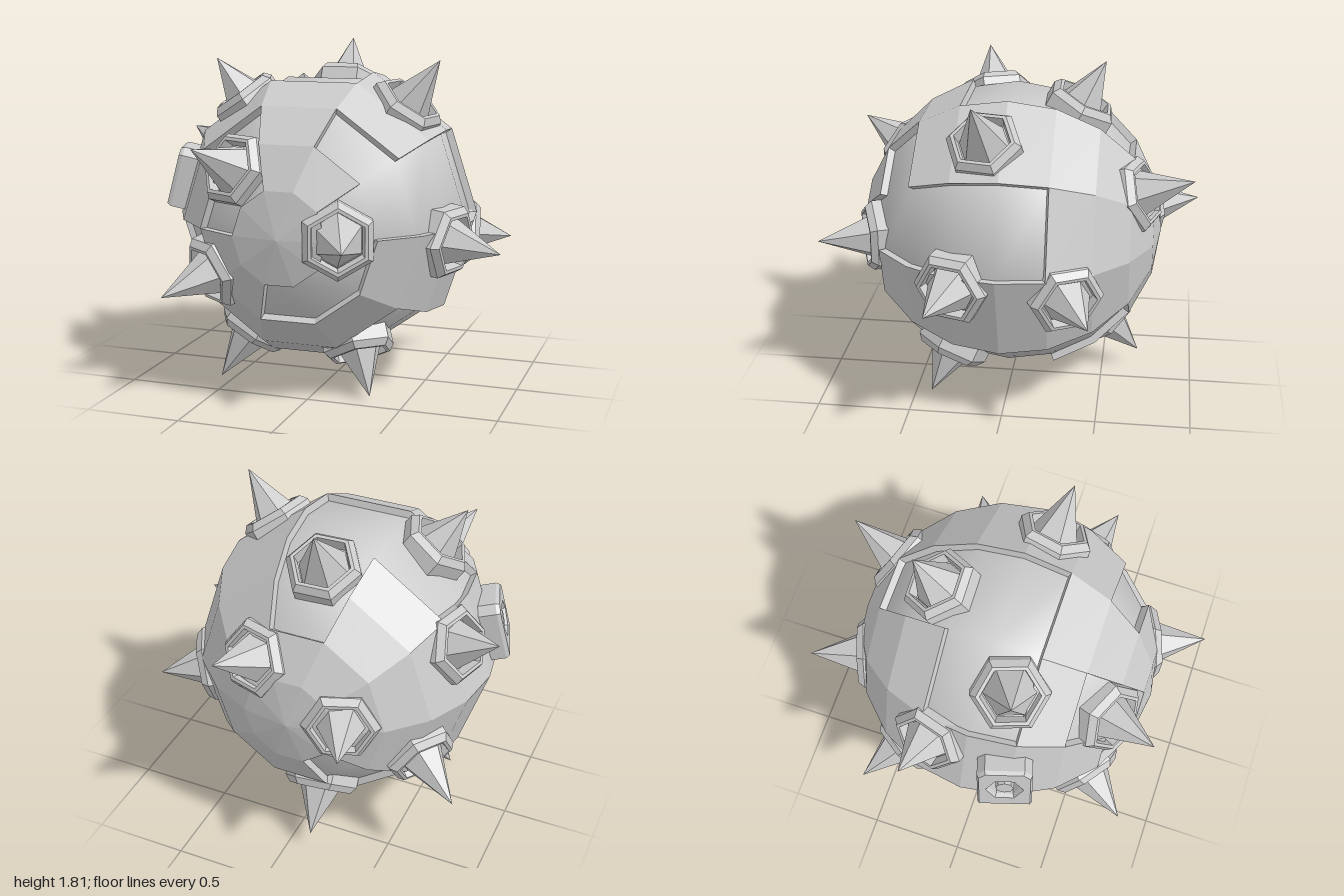
import * as THREE from 'three';

const CENTER = new THREE.Vector3(-0.05, 0.9, 0);
const SHELL = 0.8, CORE = 0.76, N = 10;

// Recessed panels of the shell: [sector, first ring, last ring]; rings run front to back
const RECESSES = [
  [0, 1, 5], [1, 2, 2], [2, 4, 7], [3, 4, 5], [3, 1, 2], [4, 1, 1],
  [5, 2, 3], [7, 1, 1], [8, 1, 1], [9, 1, 1], [7, 4, 5], [8, 3, 7], [6, 7, 8],
];

// Spike tips
const TIPS = [
  [-0.07, 1.81, -0.48], [-0.61, 1.73, 0.2], [0.59, 1.74, 0.13],
  [-0.45, 1.34, 0.89], [0.35, 0.9, 0.99], [-0.66, 0.57, 0.83],
  [0.96, 0.8, 0.32], [0.86, 0.73, -0.47], [-0.96, 1.3, -0.27],
  [-0.87, 0.495, -0.58], [-0.42, 0.94, -1.0], [0.25, 1.29, -0.96],
  [-0.58, 0, 0.28], [0.31, 0.02, 0.41], [-0.13, 0.11, -0.7],
];

const smooth = new THREE.MeshStandardMaterial({ color: 0xcccccc });
const flat = new THREE.MeshStandardMaterial({ color: 0xcccccc, flatShading: true, side: THREE.DoubleSide });

function part(name, geometry, material = flat) {
  const mesh = new THREE.Mesh(geometry, material);
  mesh.name = name;
  return mesh;
}

// Point on the ball at ring j and sector edge k, with the poles on z
function ballPoint(j, k, r) {
  const polar = (j * Math.PI) / N, turn = (k * 2 * Math.PI) / N;
  return [r * Math.sin(polar) * Math.cos(turn), r * Math.sin(polar) * Math.sin(turn), r * Math.cos(polar)];
}

// Raised plates with walls down to the core around each recess
function shellGeometry() {
  const pos = [];
  const quad = (a, b, c, d) => pos.push(...a, ...b, ...c, ...a, ...c, ...d);
  const recessed = (j, k) => RECESSES.some(([s, a, b]) => s === (k + N) % N && j >= a && j <= b);
  for (let j = 0; j < N; j++) {
    for (let k = 0; k < N; k++) {
      if (recessed(j, k)) continue;
      const corners = [[j, k], [j + 1, k], [j + 1, k + 1], [j, k + 1]];
      const top = corners.map(([a, b]) => ballPoint(a, b, SHELL));
      const low = corners.map(([a, b]) => ballPoint(a, b, CORE - 0.005));
      if (j === 0) pos.push(...top[0], ...top[1], ...top[2]);
      else if (j === N - 1) pos.push(...top[0], ...top[1], ...top[3]);
      else quad(...top);
      const sides = [[j, k - 1], [j + 1, k], [j, k + 1], [j - 1, k]];
      sides.forEach(([nj, nk], i) => {
        const n = (i + 1) % 4;
        if (recessed(nj, nk)) quad(top[i], low[i], low[n], top[n]);
      });
    }
  }
  const geometry = new THREE.BufferGeometry();
  geometry.setAttribute('position', new THREE.Float32BufferAttribute(pos, 3));
  geometry.computeVertexNormals();
  return geometry;
}

// Group at the ball centre whose +z points at the target
function aimed(name, target) {
  const group = new THREE.Group();
  group.name = name;
  group.position.copy(CENTER);
  group.lookAt(target);
  return group;
}

function createSpike(tip, roll) {
  const target = new THREE.Vector3(...tip);
  const length = target.distanceTo(CENTER), base = 0.74;
  const spike = aimed('spike', target);
  // Bevelled six-sided collar
  const profile = [[0.2, 0.66], [0.2, 0.775], [0.17, 0.81], [0.15, 0.81], [0.14, 0.75]];
  const collar = new THREE.LatheGeometry(profile.map(([r, h]) => new THREE.Vector2(r, h)), 6);
  const cone = new THREE.ConeGeometry(0.137, length - base, 6);
  cone.translate(0, (length + base) / 2, 0);
  for (const g of [collar, cone]) g.rotateX(Math.PI / 2).rotateZ(roll);
  spike.add(part('spikeCollar', collar), part('spikePoint', cone));
  return spike;
}

// Square housing with an open front and a round lens inside
function createHousing() {
  const housing = aimed('lensHousing', new THREE.Vector3(-0.83, 1.11, 0.24));
  const outline = new THREE.Shape();
  const w = 0.14, h = 0.16, c = 0.04;
  [[-w, -h], [w, -h], [w, h - c], [w - c, h], [c - w, h], [-w, h - c]].forEach(([x, y], i) =>
    i ? outline.lineTo(x, y) : outline.moveTo(x, y));
  const hole = new THREE.Path();
  hole.absarc(0, 0, 0.085, 0, Math.PI * 2, true);
  outline.holes.push(hole);
  const frame = new THREE.ExtrudeGeometry(outline, {
    depth: 0.19, curveSegments: 3, bevelSize: 0.01, bevelThickness: 0.02, bevelOffset: -0.01, bevelSegments: 1,
  });
  frame.translate(0, 0, 0.64);
  const lens = new THREE.CylinderGeometry(0.045, 0.06, 0.16, 8).rotateX(Math.PI / 2);
  lens.translate(0, 0, 0.76);
  housing.add(part('housingFrame', frame), part('lens', lens));
  return housing;
}

export function createModel() {
  const model = new THREE.Group();
  model.name = 'spikedBall';

  // Smooth inner ball and faceted outer plates
  const core = part('core', new THREE.SphereGeometry(CORE, N, N).rotateX(Math.PI / 2), smooth);
  const shell = part('shellPlates', shellGeometry());
  for (const m of [core, shell]) m.position.copy(CENTER);
  model.add(core, shell);

  // Spikes; the front one stands with a corner up
  TIPS.forEach((tip, i) => model.add(createSpike(tip, i === 4 ? 0 : Math.PI / 6)));
  model.add(createHousing());
  return model;
}
